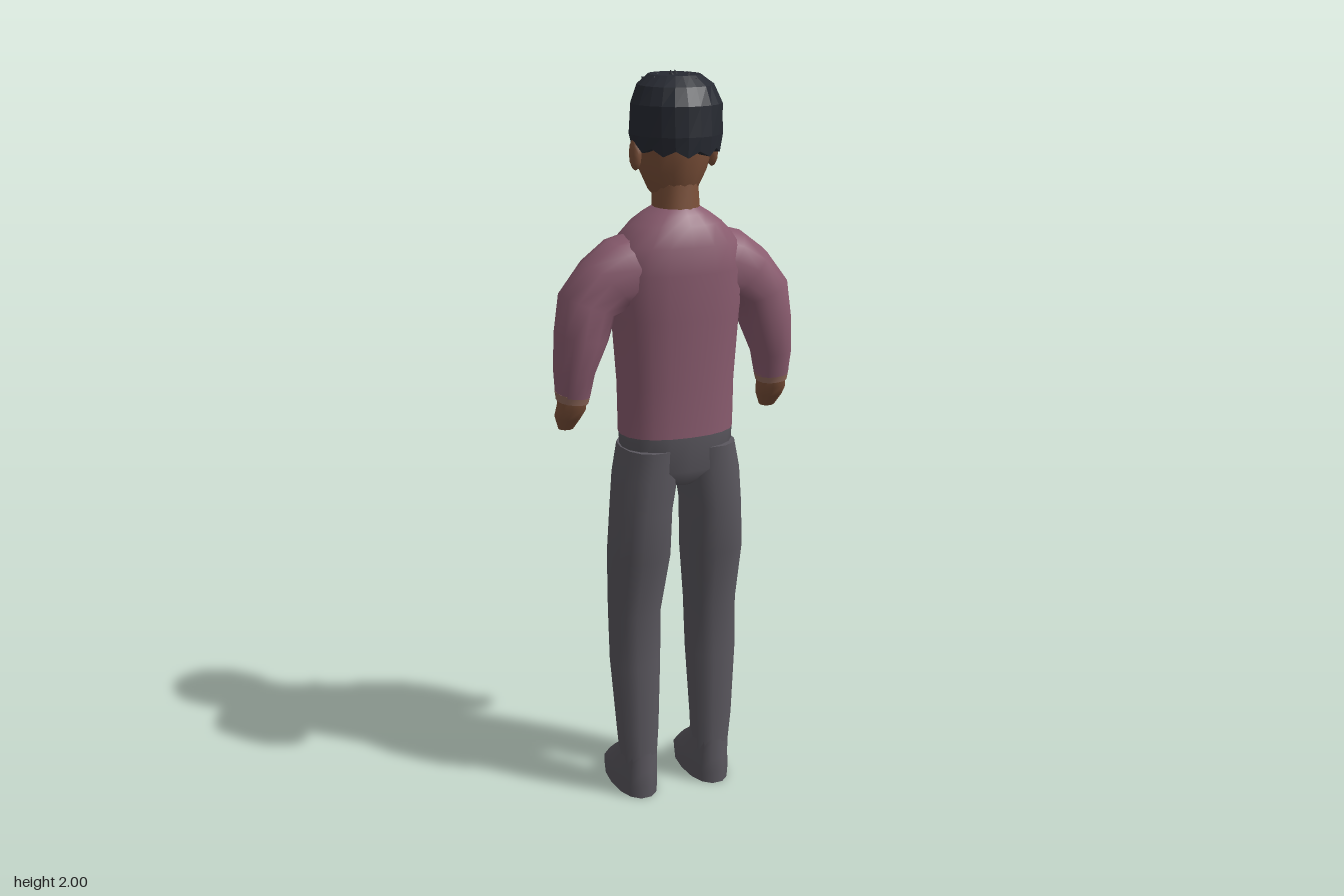
import * as THREE from 'three';

const mat = (name, color, flatShading = false) =>
  Object.assign(new THREE.MeshStandardMaterial({ color, flatShading }), { name });

// Closed loft through rings, listed from bottom to top: [x, y, z, half width, half depth, tilt]
function loft(rings, sides = 16, power = 0.88, shift = null) {
  const pos = [], idx = [];
  const curve = v => Math.sign(v) * Math.pow(Math.abs(v), power);
  const addRing = ([x, y, z, rx, rz, tilt = 0], r) => {
    for (let j = 0; j < sides; j++) {
      const a = (j / sides) * Math.PI * 2;
      const u = curve(Math.cos(a)) * rx, w = curve(Math.sin(a)) * rz;
      const p = new THREE.Vector3(x + u * Math.cos(tilt), y + u * Math.sin(tilt), z + w);
      if (shift) shift(p, r, j, a);
      pos.push(p.x, p.y, p.z);
    }
  };
  rings.forEach(addRing);
  for (let r = 0; r < rings.length - 1; r++) {
    for (let j = 0; j < sides; j++) {
      const k = (j + 1) % sides, a = r * sides, b = a + sides;
      idx.push(a + j, b + j, a + k, a + k, b + j, b + k);
    }
  }
  // caps have their own vertices so that their edges stay sharp
  for (const r of [0, rings.length - 1]) {
    const s = pos.length / 3;
    addRing(rings[r], r);
    const c = pos.length / 3;
    pos.push(rings[r][0], rings[r][1], rings[r][2]);
    for (let j = 0; j < sides; j++) {
      const k = (j + 1) % sides;
      if (r === 0) idx.push(c, s + j, s + k);
      else idx.push(c, s + k, s + j);
    }
  }
  const g = new THREE.BufferGeometry();
  g.setAttribute('position', new THREE.Float32BufferAttribute(pos, 3));
  g.setIndex(idx);
  g.computeVertexNormals();
  return g;
}

const mirrored = (rings, s) => rings.map(([x, y, z, rx, rz, t = 0]) => [s * x, y, z, rx, rz, s * t]);

export function createModel() {
  const model = new THREE.Group();
  const shirt = mat('shirt', 0x8a5c6f);
  const trousers = mat('trousers', 0x5a575e);
  const skin = mat('skin', 0x7b5039);
  const cuffs = mat('cuffs', 0x916a5c);
  const hair = mat('hair', 0x272a32, true);

  const add = (name, geometry, material, parent = model) => {
    const m = new THREE.Mesh(geometry, material);
    m.name = name;
    parent.add(m);
    return m;
  };

  // Body
  add('torso', loft([
    [0, 1.065, 0.032, 0.157, 0.105], [0, 1.2, 0.032, 0.159, 0.108],
    [0, 1.38, 0.032, 0.172, 0.118], [0, 1.5, 0.031, 0.188, 0.124],
    [0, 1.57, 0.03, 0.168, 0.12], [0, 1.62, 0.03, 0.12, 0.1],
    [0, 1.645, 0.032, 0.085, 0.08], [0, 1.66, 0.034, 0.06, 0.062],
  ], 20), shirt);
  add('hips', loft([
    [0, 0.925, 0.035, 0.04, 0.07], [0, 0.97, 0.035, 0.15, 0.1], [0, 1.067, 0.032, 0.156, 0.105],
  ], 20), trousers);

  // Limbs
  for (const s of [1, -1]) {
    const side = s > 0 ? 'left' : 'right';
    const arm = new THREE.Group();
    arm.name = side + 'Arm';
    const leg = new THREE.Group();
    leg.name = side + 'Leg';
    model.add(arm, leg);

    add('sleeve', loft(mirrored([
      [0.287, 1.185, 0.025, 0.043, 0.053, 0.1], [0.283, 1.25, 0.028, 0.05, 0.07, 0.12],
      [0.262, 1.34, 0.028, 0.066, 0.085, 0.16], [0.245, 1.42, 0.028, 0.075, 0.083, 0.4],
      [0.19, 1.47, 0.03, 0.088, 0.083, 0.8], [0.12, 1.495, 0.03, 0.11, 0.095, 0.95],
      [0.05, 1.51, 0.03, 0.11, 0.09, 1.1],
    ], s), 14), shirt, arm);
    add('cuff', loft(mirrored([
      [0.288, 1.168, 0.024, 0.04, 0.049, 0.1], [0.287, 1.19, 0.025, 0.044, 0.054, 0.1],
    ], s), 14), cuffs, arm);
    add('hand', loft(mirrored([
      [0.294, 1.085, -0.014, 0.02, 0.02], [0.293, 1.12, 0.0, 0.034, 0.038],
      [0.289, 1.15, 0.02, 0.037, 0.045], [0.287, 1.19, 0.025, 0.035, 0.042],
    ], s), 10), skin, arm);

    add('trouserLeg', loft(mirrored([
      [0.11, 0.1, 0.025, 0.05, 0.054], [0.112, 0.2, 0.026, 0.058, 0.055],
      [0.114, 0.4, 0.015, 0.068, 0.07], [0.113, 0.55, 0.01, 0.071, 0.071],
      [0.107, 0.72, 0.03, 0.083, 0.09], [0.102, 0.85, 0.035, 0.08, 0.095],
      [0.09, 0.95, 0.035, 0.084, 0.1], [0.08, 1.03, 0.033, 0.078, 0.102],
    ], s), 14), trousers, leg);
    add('shoe', loft(mirrored([
      [0.11, 0, -0.035, 0.059, 0.123], [0.11, 0.035, -0.036, 0.062, 0.126],
      [0.11, 0.075, -0.016, 0.06, 0.102], [0.11, 0.125, 0.016, 0.053, 0.064],
      [0.11, 0.16, 0.025, 0.05, 0.054],
    ], s), 14), trousers, leg);

    const ear = add(side + 'Ear', new THREE.SphereGeometry(1, 8, 6), skin);
    ear.scale.set(0.015, 0.042, 0.024);
    ear.position.set(s * 0.106, 1.795, 0.022);
  }

  // Head
  add('neck', loft([[0, 1.62, 0.035, 0.062, 0.066], [0, 1.72, 0.03, 0.056, 0.062]], 14), skin);
  add('head', loft([
    [0, 1.68, 0.015, 0.045, 0.06], [0, 1.7, 0.012, 0.062, 0.073], [0, 1.75, 0.014, 0.086, 0.09],
    [0, 1.82, 0.017, 0.105, 0.101], [0, 1.9, 0.02, 0.1, 0.1], [0, 1.96, 0.02, 0.06, 0.07],
  ], 16, 1), skin);
  const nose = add('nose', new THREE.ConeGeometry(0.042, 0.06, 4).rotateX(-Math.PI / 2), skin);
  nose.position.set(0, 1.79, -0.086);
  nose.scale.x = 0.9;

  // Hair: rough cap with a jagged rim, higher over the forehead, and short tufts on top
  let seed = 7;
  const rnd = () => (seed = (seed * 16807) % 2147483647) / 2147483647 - 0.5;
  add('hairCap', loft([
    [0, 1.802, 0.035, 0.111, 0.117], [0, 1.845, 0.035, 0.118, 0.121], [0, 1.92, 0.034, 0.117, 0.118],
    [0, 1.965, 0.03, 0.098, 0.104], [0, 1.99, 0.025, 0.065, 0.075],
  ], 22, 1, (p, r, j, a) => {
    if (r === 0) p.y += 0.012 * (1 - Math.sin(a)) + (j % 2 ? 0.008 : -0.008);
    else if (r < 4) {
      const k = 1 + rnd() * 0.05;
      p.x *= k;
      p.z = 0.034 + (p.z - 0.034) * k;
    }
  }), hair);
  for (let i = 0; i < 14; i++) {
    const a = i * 2.4, d = 0.022 * Math.sqrt(i);
    const tuft = add('hairTuft', new THREE.ConeGeometry(0.024, 0.03, 5), hair);
    tuft.position.set(Math.cos(a) * d, 1.985 - d * d * 2.5, 0.028 + Math.sin(a) * d);
    tuft.rotation.set(Math.sin(a) * d * 8, 0, -Math.cos(a) * d * 8);
  }
  return model;
}
